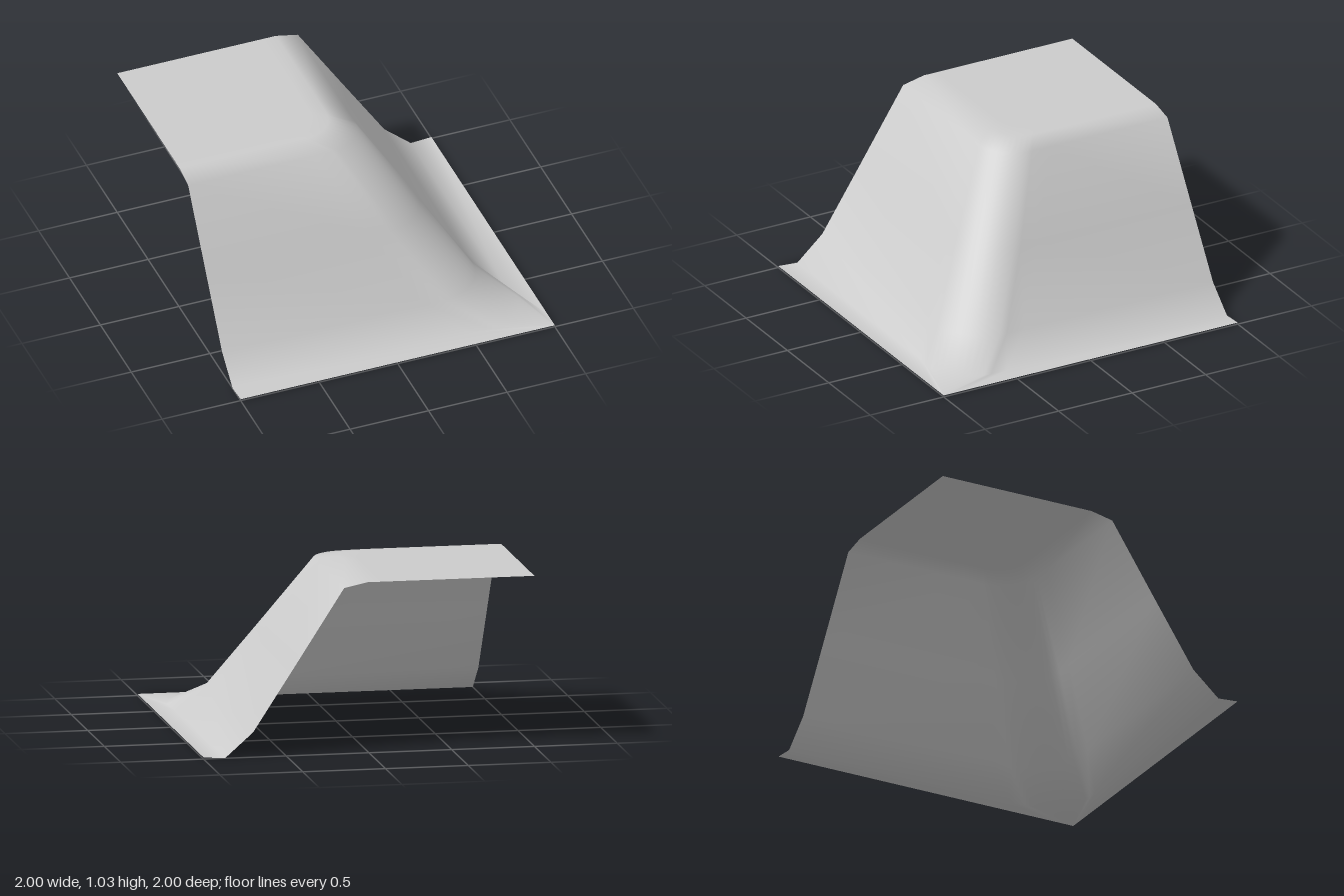
import * as THREE from 'three';

const ARC_STEPS = 10;

// Slope profile, from plateau to ground: distance from centre, height, corner radius,
// and how far the rounded corner swells outwards and upwards.
const PROFILE = [
  { d: -0.08, y: 1.03, r: 0.18, out: 0, up: 0 },
  { d: 0.01, y: 1.03, r: 0.2, out: 0, up: 0 },
  { d: 0.15, y: 1.0, r: 0.23, out: 0, up: 0 },
  { d: 0.44, y: 0.55, r: 0.28, out: 0.005, up: 0 },
  { d: 0.7, y: 0.15, r: 0.3, out: 0.005, up: 0 },
  { d: 0.87, y: 0.0, r: 0.28, out: 0.03, up: 0.018 },
  { d: 1.0, y: 0.01, r: 0, out: 0, up: 0 },
];

// One contour: straight along the front, round the corner, straight along the side.
function contour({ d, y, r, out, up }) {
  const c = d + out - r;
  const points = [[-1, y, d], [c - 0.12, y, d]];
  for (let i = 0; i <= ARC_STEPS; i++) {
    const a = (i / ARC_STEPS) * Math.PI / 2;
    points.push([c + r * Math.sin(a), y + up, c + r * Math.cos(a)]);
  }
  points.push([d, y, c - 0.12], [d, y, -1]);
  return points;
}

function surface(points, index) {
  const geometry = new THREE.BufferGeometry();
  geometry.setAttribute('position', new THREE.Float32BufferAttribute(points.flat(), 3));
  geometry.setIndex(index);
  geometry.computeVertexNormals();
  return geometry;
}

export function createModel() {
  const group = new THREE.Group();
  group.name = 'cliffCorner';
  const stone = new THREE.MeshStandardMaterial({ color: 0xcccccc, side: THREE.DoubleSide });
  stone.name = 'pale grey';

  const add = (name, geometry) => {
    const mesh = new THREE.Mesh(geometry, stone);
    mesh.name = name;
    group.add(mesh);
  };

  // Flat plateau: a fan from the back corner to the first contour
  const rim = contour(PROFILE[0]);
  const fan = [];
  for (let i = 1; i < rim.length; i++) fan.push(0, i, i + 1);
  add('plateau', surface([[-1, PROFILE[0].y, -1], ...rim], fan));

  // Smooth slope and ground flange: neighbouring contours joined by quads
  const rings = PROFILE.map(contour);
  const n = rim.length;
  const quads = [];
  for (let j = 0; j < rings.length - 1; j++) {
    for (let i = 0; i < n - 1; i++) {
      const a = j * n + i;
      quads.push(a, a + n, a + n + 1, a, a + n + 1, a + 1);
    }
  }
  add('slope', surface(rings.flat(), quads));

  return group;
}
